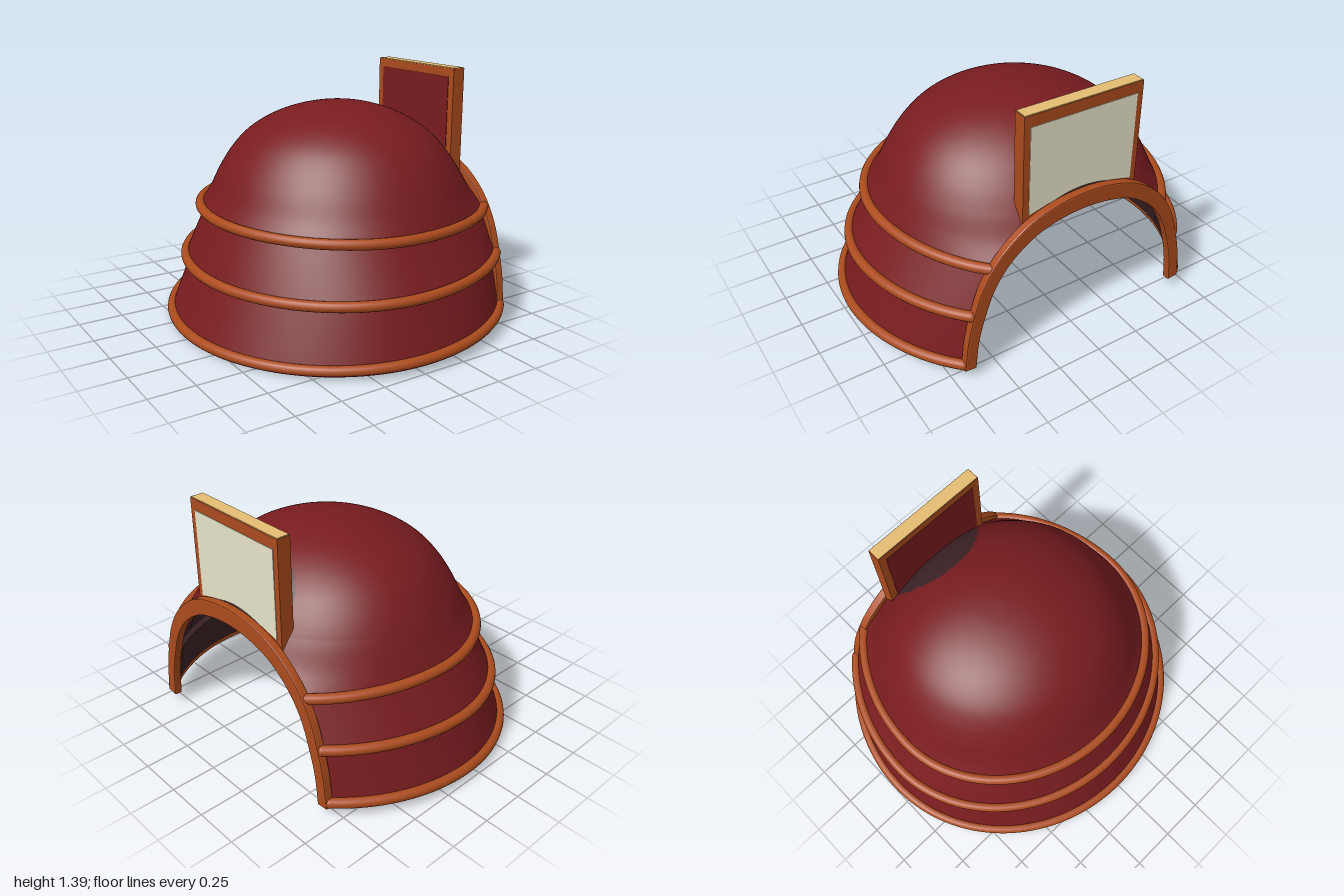
import * as THREE from 'three';

const mat = (name, color) => {
  const m = new THREE.MeshStandardMaterial({ color });
  m.name = name;
  return m;
};

// Cross-section rows: [y at back, y at front, centre x, back radius, front radius, side radius]
const BASE = [0.03, 0.088, 0.1, 0.905, 0.98, 0.967];
const LOW_TOP = [0.32, 0.37, 0.1, 0.79, 0.967, 0.87];
const MID_BASE = [0.335, 0.385, 0.1, 0.81, 0.97, 0.908];
const MID_TOP = [0.62, 0.61, 0.1, 0.7, 0.93, 0.76];
const DOME_BASE = [0.637, 0.625, 0.1, 0.72, 0.908, 0.8];
// Rounded dome, flaring forward near its foot and slightly tapered around the shoulder
const DOME = [DOME_BASE];
for (let k = 1; k <= 8; k++) {
  const a = (k / 8) * Math.PI / 2, s = Math.cos(a), y = 0.6 + 0.612 * Math.sin(a);
  const flare = [0, 0.35, 0.08][k] ?? 0;
  const taper = 1 - ([0, 0.035, 0.05, 0.045, 0.025, 0.01][k] ?? 0);
  DOME.push([y, y, 0.17 - 0.07 * flare, 0.785 * s * taper - 0.07 * flare, 0.69 * s + 0.22 * flare, 0.8 * s * taper]);
}
const TIERS = [[BASE, LOW_TOP], [LOW_TOP, MID_BASE], [MID_BASE, MID_TOP], [MID_TOP, DOME_BASE], DOME];

// Point on a row; u runs -1..1 around the back, ending where the row meets x = cut
function rowPoint([yB, yF, c, aB, aF, aZ], u, cut) {
  const end = aF <= cut - c ? Math.PI : Math.acos(-(cut - c) / aF);
  const a = u * end, cos = Math.cos(a);
  const x = c - cos * (cos > 0 ? aB : aF);
  return new THREE.Vector3(x, yB + (yF - yB) * (x + 0.82) / 1.62, aZ * Math.sin(a));
}

// Smooth in-between row
function rowAt(rows, t) {
  return rows[0].map((_, k) =>
    new THREE.SplineCurve(rows.map((r, i) => new THREE.Vector2(i, r[k]))).getPoint(t).y);
}

// Faces passing the test (on averaged attribute values) take the second material
function splitFaces(g, attribute, test) {
  const at = g.getAttribute(attribute), ix = g.getIndex().array, main = [], other = [];
  for (let i = 0; i < ix.length; i += 3) {
    const f = [ix[i], ix[i + 1], ix[i + 2]];
    const mean = (get) => f.reduce((sum, v) => sum + at[get](v), 0) / 3;
    (test(mean('getX'), mean('getY'), mean('getZ')) ? other : main).push(...f);
  }
  g.setIndex([...main, ...other]);
  g.clearGroups();
  g.addGroup(0, main.length, 0);
  g.addGroup(main.length, other.length, 1);
  return g;
}

// Surface through the rows, facing outward or inward
function loft(rows, cut, inward) {
  const cols = 128, steps = rows.length > 2 ? 100 : 6;
  const pos = [], index = [];
  for (let i = 0; i <= steps; i++) {
    const row = rowAt(rows, i / steps).map((v, k) => (k > 2 ? Math.max(v, 0) : v));
    for (let j = 0; j <= cols; j++) pos.push(...rowPoint(row, (j / cols) * 2 - 1, cut).toArray());
  }
  for (let i = 0; i < steps; i++) {
    for (let j = 0; j < cols; j++) {
      const a = i * (cols + 1) + j, b = a + 1, c = a + cols + 1, d = c + 1;
      index.push(...(inward ? [a, c, b, b, c, d] : [a, b, c, b, d, c]));
    }
  }
  const g = new THREE.BufferGeometry();
  g.setAttribute('position', new THREE.Float32BufferAttribute(pos, 3));
  g.setIndex(index);
  g.computeVertexNormals();
  return g;
}

// Row moved inward for the lining
function liningRow(row) {
  const [yB, yF, c, aB, aF, aZ] = row;
  const inset = row === BASE ? 0.018 : 0.034, drop = yB > 0.7 ? 0.03 : 0;
  return [yB - drop, yF - drop, c, Math.max(aB - inset, 0), Math.max(aF - 0.02, 0), Math.max(aZ - inset, 0)];
}

// Flat outline (z, y) extruded along +x
function plate(points, x, depth, bevel = 0) {
  const g = new THREE.ExtrudeGeometry(new THREE.Shape(points), {
    depth: depth - 2 * bevel, bevelEnabled: bevel > 0, bevelSize: bevel,
    bevelThickness: bevel, bevelOffset: -bevel, bevelSegments: 2,
  });
  return g.rotateY(Math.PI / 2).translate(x + bevel, 0, 0);
}

// Rectangle whose bottom edge arches upward
function archedRect(half, top, sideY, midY) {
  const pts = [new THREE.Vector2(half, top), new THREE.Vector2(-half, top)];
  for (let i = 0; i <= 16; i++) {
    const s = i / 8 - 1;
    pts.push(new THREE.Vector2(s * half, midY + (sideY - midY) * s * s));
  }
  return pts;
}

export function createModel() {
  const red = mat('shell red', 0x791c1f);
  const orange = mat('trim orange', 0xab4b1d);
  const dark = mat('lining dark brown', 0x3d2326);
  const bright = mat('bright red', 0xb01c1c);
  const cream = mat('panel cream', 0xe7e3c9);
  const tan = mat('edge tan', 0xe4bd72);
  const model = new THREE.Group();
  const add = (name, geometry, material) => {
    const m = new THREE.Mesh(geometry, material);
    m.name = name;
    model.add(m);
  };

  // Tiered shell and its inner lining
  TIERS.forEach((rows, i) => {
    const isDome = rows === DOME;
    const outside = loft(rows, 0.8, false), inside = loft(rows.map(liningRow), 0.785, true);
    if (isDome) {
      // Dark patch behind the panel, bright cap inside the crown
      splitFaces(outside, 'position', (x, y, z) => ((x - 0.78) / 0.27) ** 2 + ((z + 0.01) / 0.32) ** 2 < 1);
      splitFaces(inside, 'position', (x, y, z) => ((x - 0.06) / 0.5) ** 2 + (z / 0.43) ** 2 < 1);
    }
    add(isDome ? 'dome' : `tier${i + 1}`, outside, isDome ? [red, dark] : red);
    add(isDome ? 'domeLining' : `tier${i + 1}Lining`, inside, isDome ? [dark, bright] : dark);
  });

  // Rolled trim around the foot of each tier, red on its underside
  const R = 0.028;
  [['lowerTrim', BASE, red, -0.5], ['middleTrim', MID_BASE, bright, -0.7], ['upperTrim', DOME_BASE, bright, -0.7]]
    .forEach(([name, row, under, limit]) => {
      const path = row.map((v, k) => (k > 2 ? v + 0.005 : v));
      const pts = Array.from({ length: 49 }, (_, i) => rowPoint(path, i / 24 - 1, 0.79));
      const tube = new THREE.TubeGeometry(new THREE.CatmullRomCurve3(pts), 120, R, 16);
      add(name, splitFaces(tube, 'normal', (x, y) => y < limit), [orange, under]);
      [pts[0], pts[48]].forEach((p) =>
        add(`${name}End`, new THREE.SphereGeometry(R, 12, 8).translate(p.x, p.y, p.z), orange));
    });

  // Arched band around the front opening, broader at the crown
  const half = [[0.668, 0.06], [0.65, 0.23], [0.613, 0.38], [0.565, 0.52], [0.495, 0.635], [0.405, 0.725], [0.29, 0.797], [0.15, 0.838]];
  const arch = new THREE.SplineCurve([
    ...half.map(([z, y]) => new THREE.Vector2(z, y)),
    new THREE.Vector2(0, 0.852),
    ...half.slice().reverse().map(([z, y]) => new THREE.Vector2(-z, y)),
  ]);
  const outer = [], innerEdge = [];
  for (let i = 0; i <= 60; i++) {
    const p = arch.getPoint(i / 60), t = arch.getTangent(i / 60);
    const w = 0.033 + 0.015 * Math.sin((i / 60) * Math.PI) ** 2;
    outer.push(new THREE.Vector2(p.x + t.y * w, p.y - t.x * w));
    innerEdge.unshift(new THREE.Vector2(p.x - t.y * w, p.y + t.x * w));
  }
  add('openingTrim', plate([...outer, ...innerEdge], 0.772, 0.048, 0.008), orange);

  // Upright brow panel with coloured faces
  add('panelFrame', plate(archedRect(0.342, 1.388, 0.8, 0.87), 0.692, 0.076), orange);
  add('panelFront', plate(archedRect(0.308, 1.328, 0.845, 0.89), 0.765, 0.006), cream);
  add('panelBack', plate(archedRect(0.3, 1.34, 0.84, 0.89), 0.689, 0.006), red);
  add('panelTopEdge', new THREE.BoxGeometry(0.07, 0.006, 0.676).translate(0.73, 1.389, 0), tan);

  return model;
}
